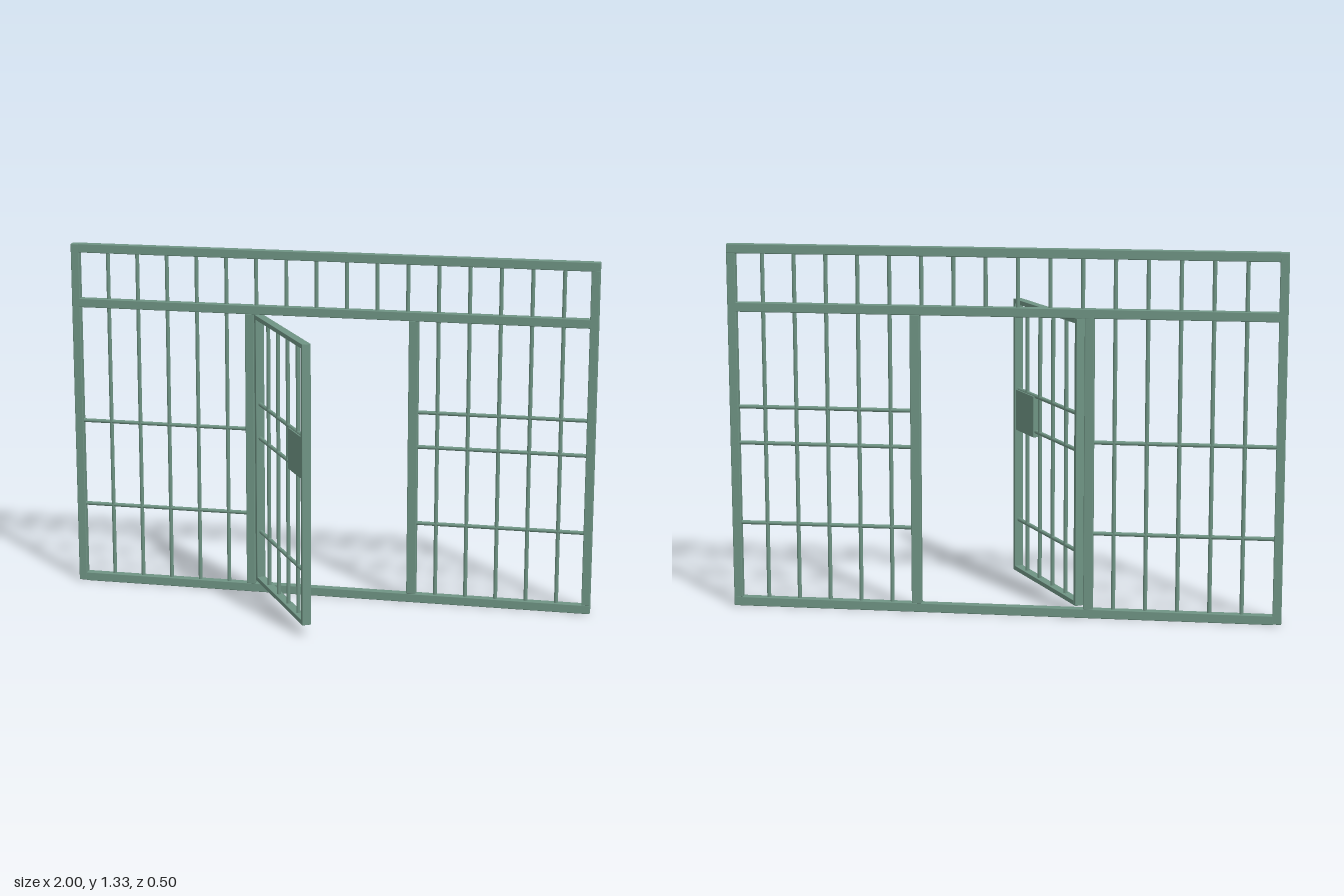
import * as THREE from 'three';
import { RoundedBoxGeometry } from 'three/addons/geometries/RoundedBoxGeometry.js';

const paint = new THREE.MeshStandardMaterial({ color: 0x6f9484 });
const BAR_RADIUS = 0.0075;

function add(parent, name, geometry, x, y, z = 0) {
  const mesh = new THREE.Mesh(geometry, paint);
  mesh.name = name;
  mesh.position.set(x, y, z);
  parent.add(mesh);
  return mesh;
}

// Square tube or plate given by its x and y limits
function tube(parent, name, x0, x1, y0, y1, depth, radius = 0.003) {
  return add(parent, name, new RoundedBoxGeometry(x1 - x0, y1 - y0, depth, 2, radius),
    (x0 + x1) / 2, (y0 + y1) / 2);
}

// Thin round bars
function uprightBar(parent, name, x, y0, y1) {
  add(parent, name, new THREE.CylinderGeometry(BAR_RADIUS, BAR_RADIUS, y1 - y0, 12), x, (y0 + y1) / 2);
}
function crossBar(parent, name, x0, x1, y) {
  add(parent, name, new THREE.CylinderGeometry(BAR_RADIUS, BAR_RADIUS, x1 - x0, 12), (x0 + x1) / 2, y)
    .rotation.z = Math.PI / 2;
}

function buildFrame() {
  const frame = new THREE.Group();
  frame.name = 'wallFrame';
  frame.position.z = -0.235;
  const depth = 0.03;

  // Outer posts and the three long rails
  tube(frame, 'rightPost', -1, -0.968, 0.005, 1.335, depth);
  tube(frame, 'leftPost', 0.963, 0.995, 0.035, 1.305, depth);
  tube(frame, 'bottomRail', -0.972, 0.995, 0.003, 0.037, depth);
  tube(frame, 'middleRail', -0.972, 0.995, 1.092, 1.126, depth);
  tube(frame, 'topRail', -0.972, 0.995, 1.302, 1.336, depth);

  // Posts either side of the doorway
  tube(frame, 'hingePost', -0.325, -0.291, 0.035, 1.094, depth);
  tube(frame, 'latchPost', 0.298, 0.334, 0.035, 1.094, depth);

  // Upright bars: full row above, side panels only below
  for (let i = 0; i < 16; i++) {
    const x = -0.858 + i * 0.115;
    uprightBar(frame, 'upperBar', x, 1.12, 1.31);
    if (i < 5 || i > 10) uprightBar(frame, 'lowerBar', x, 0.03, 1.1);
  }

  // Horizontal bars of the side panels
  for (const y of [0.315, 0.647]) crossBar(frame, 'rightPanelCrossBar', -0.972, -0.32, y);
  for (const y of [0.315, 0.612, 0.745]) crossBar(frame, 'leftPanelCrossBar', 0.33, 0.967, y);
  return frame;
}

// Door built along local +x from its hinge edge, then swung open
function buildDoor() {
  const door = new THREE.Group();
  door.name = 'door';
  door.position.set(-0.277, 0, -0.24);
  door.rotation.y = THREE.MathUtils.degToRad(-59);
  const width = 0.562, depth = 0.033, edge = 0.017, y0 = 0.047, y1 = 1.09;

  tube(door, 'hingeStile', 0, edge, y0, y1, depth, 0.001);
  tube(door, 'latchStile', width - edge, width, y0, y1, depth, 0.001);
  tube(door, 'doorBottomRail', edge, width - edge, y0, y0 + edge, depth, 0.001);
  tube(door, 'doorTopRail', edge, width - edge, y1 - edge, y1, depth, 0.001);

  for (let i = 0; i < 4; i++) uprightBar(door, 'doorBar', width - 0.096 - i * 0.115, y0 + 0.01, y1 - 0.01);
  for (const y of [0.245, 0.614, 0.747]) crossBar(door, 'doorCrossBar', 0.01, width - 0.01, y);

  // Lock case beside the latch stile
  tube(door, 'lockCase', width - 0.177, width - 0.015, 0.593, 0.747, 0.025, 0.001);
  return door;
}

export function createModel() {
  const model = new THREE.Group();
  model.name = 'barredWallWithDoor';
  model.add(buildFrame(), buildDoor());
  return model;
}
